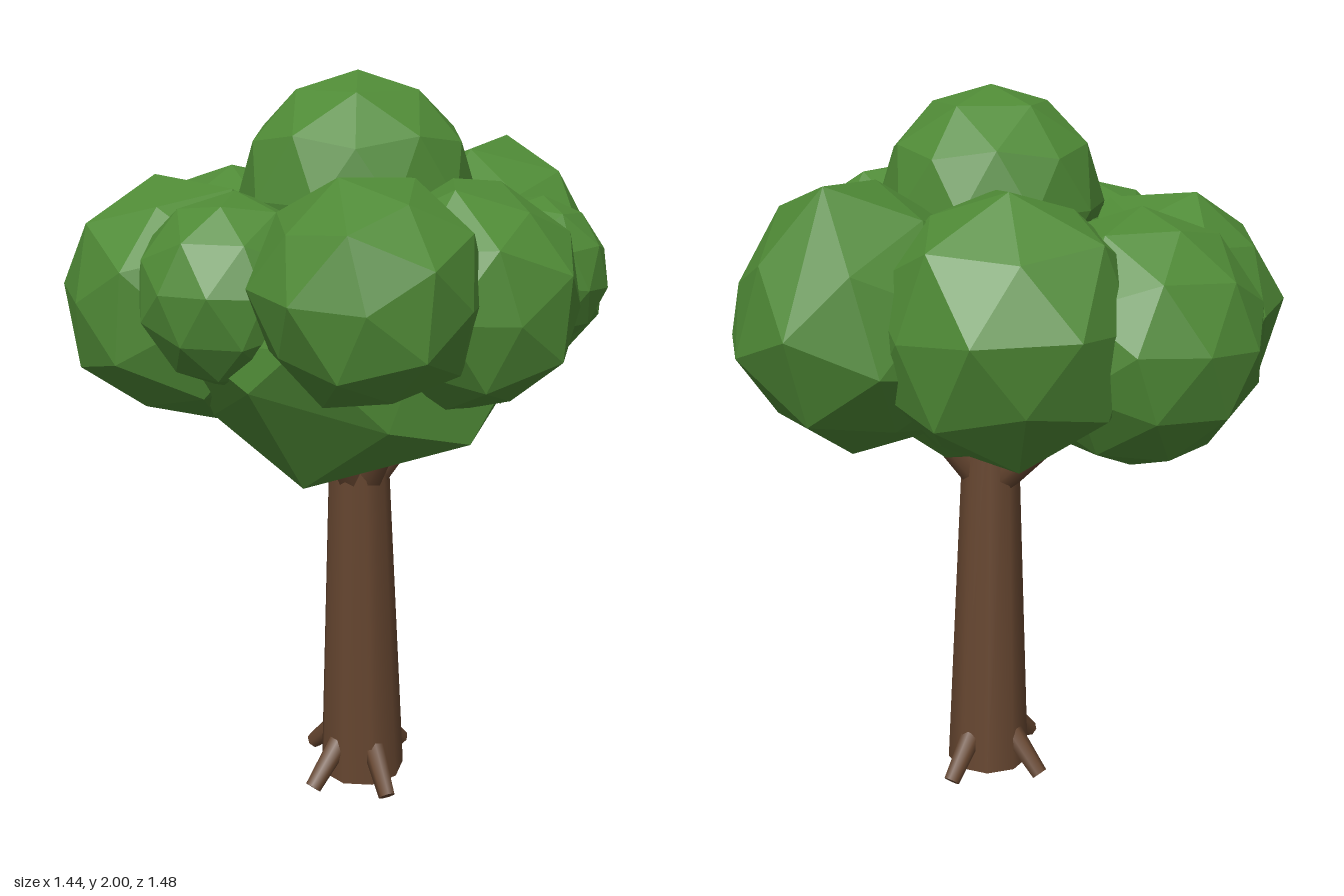
import * as THREE from 'three';
import { ConvexGeometry } from 'three/addons/geometries/ConvexGeometry.js';

const V = (x, y, z) => new THREE.Vector3(x, y, z);
const PHI = (1 + Math.sqrt(5)) / 2;

const barkMat = new THREE.MeshStandardMaterial({ color: 0x664630 });
const leafMat = new THREE.MeshStandardMaterial({ color: 0x4f8a36, flatShading: true });

// Orthonormal frame whose x axis is a, with b lying in the xy plane
function frame(a, b) {
  const x = a.clone().normalize();
  const z = x.clone().cross(b).normalize();
  return new THREE.Matrix4().makeBasis(x, z.clone().cross(x), z);
}

// Rotation that points corner v0 along a, with its neighbour v1 leaning to b
const aim = (v0, v1, a, b) => frame(V(...a), V(...b)).multiply(frame(v0, v1).transpose());

// Corners of a dodecahedron whose twelve faces bulge into low five-sided fans
function bulgedDodecahedron(r, bulge) {
  const points = [];
  for (const i of [-1, 1]) for (const j of [-1, 1]) {
    for (const k of [-1, 1]) points.push(V(i, j, k).setLength(r));
    for (const [u, v, len] of [[i / PHI, j * PHI, r], [i * PHI, j, r * bulge]]) {
      points.push(V(0, u, v).setLength(len), V(u, v, 0).setLength(len), V(v, 0, u).setLength(len));
    }
  }
  return points;
}

// Tapered limb between two points
function limb(name, from, to, r0, r1, sides) {
  const dir = to.clone().sub(from);
  const mesh = new THREE.Mesh(new THREE.CylinderGeometry(r1, r0, dir.length(), sides), barkMat);
  mesh.position.copy(from).add(to).multiplyScalar(0.5);
  mesh.quaternion.setFromUnitVectors(V(0, 1, 0), dir.normalize());
  mesh.name = name;
  return mesh;
}

// Round clump: subdivided icosahedron
function roundClump(name, pos, r, a, b) {
  const mesh = new THREE.Mesh(new THREE.IcosahedronGeometry(r, 1), leafMat);
  mesh.geometry.applyMatrix4(aim(V(0, 1, PHI), V(0, -1, PHI), a, b));
  mesh.position.set(...pos);
  mesh.name = name;
  return mesh;
}

// Angular clump: bulged dodecahedron, with extra corners that stick out of it
function angularClump(name, pos, r, a, b, corners = [], squash = 1) {
  const turn = aim(V(1, 1, 1), V(0, 1 / PHI, PHI), a, b);
  const points = bulgedDodecahedron(r, 0.93).map((p) => p.applyMatrix4(turn).multiply(V(1, squash, 1)));
  for (const c of corners) points.push(V(...c).sub(V(...pos)));
  const mesh = new THREE.Mesh(new ConvexGeometry(points), leafMat);
  mesh.position.set(...pos);
  mesh.name = name;
  return mesh;
}

export function createModel() {
  const tree = new THREE.Group();
  tree.name = 'tree';

  // Slightly leaning trunk
  tree.add(limb('trunk', V(-0.03, 0.02, 0.073), V(-0.065, 1.2, 0.08), 0.122, 0.074, 9));

  // Short roots around the foot
  const roots = new THREE.Group();
  roots.name = 'roots';
  for (const deg of [3, 122, 190, 277]) {
    const t = THREE.MathUtils.degToRad(deg);
    const at = (r, y) => V(-0.033 + r * Math.cos(t), y, 0.073 + r * Math.sin(t));
    roots.add(limb('root', at(0.09, 0.125), at(0.193, 0.02), 0.032, 0.024, 7));
  }
  tree.add(roots);

  // Stub branches reaching into the leaves
  const branches = new THREE.Group();
  branches.name = 'branches';
  const tips = [[-0.2, 1.1, 0.1], [0.07, 1.1, 0.2], [-0.11, 1.1, 0.22], [-0.03, 1.1, -0.16]];
  for (const tip of tips) {
    branches.add(limb('branch', V(-0.058, 0.88, 0.08), V(...tip), 0.05, 0.038, 7));
  }
  tree.add(branches);

  // Leaf clumps
  const leaves = new THREE.Group();
  leaves.name = 'foliage';
  leaves.add(
    angularClump('coreLeaves', [-0.07, 1.38, 0.07], 0.49, [-0.35, -0.92, 0.1], [0.5, -0.85, 0.1],
      [[-0.33, 0.97, 0.1], [-0.08, 0.97, 0.07], [-0.19, 1.13, 0.51], [-0.54, 1.27, 0.1]], 0.82),
    roundClump('topLeaves', [-0.06, 1.695, 0.075], 0.305, [0, 1, 0], [0.3, 0.5, 1]),
    angularClump('frontRightLeaves', [-0.44, 1.53, 0.38], 0.28, [-0.97, 0.05, -0.05], [-0.6, 0.7, 0.4]),
    angularClump('frontLeaves', [-0.135, 1.48, 0.46], 0.29, [0, -0.42, 0.9], [0, 0.3, 0.95],
      [[-0.12, 1.76, 0.4], [-0.38, 1.42, 0.48]]),
    roundClump('smallFrontLeaves', [0.13, 1.5, 0.48], 0.2, [0.1, 1, 0.1], [0.6, 0.4, 0.7]),
    angularClump('leftLeaves', [0.355, 1.44, 0.2], 0.35, [0.795, -0.607, -0.08], [0.19, -0.98, 0],
      [[0.72, 1.46, 0.16], [0.55, 1.8, 0.16], [0.32, 1.08, 0.3], [0.53, 1.4, 0.49], [0.32, 1.46, 0.55]]),
    angularClump('backLeftLeaves', [0.28, 1.445, -0.18], 0.358, [0.94, 0.1, -0.3], [0.1, 0.1, -1]),
    roundClump('backLeaves', [0.03, 1.4, -0.41], 0.33, [0, 0.03, -1], [0.2, 0.9, -0.45]),
    angularClump('backRightLeaves', [-0.275, 1.405, -0.335], 0.335, [-0.5, 0.1, -0.85], [0.1, 0.1, -1]),
    roundClump('rightLeaves', [-0.41, 1.48, -0.05], 0.245, [-0.95, 0.1, -0.1], [-0.3, 0.9, 0.2]),
  );
  tree.add(leaves);
  return tree;
}
